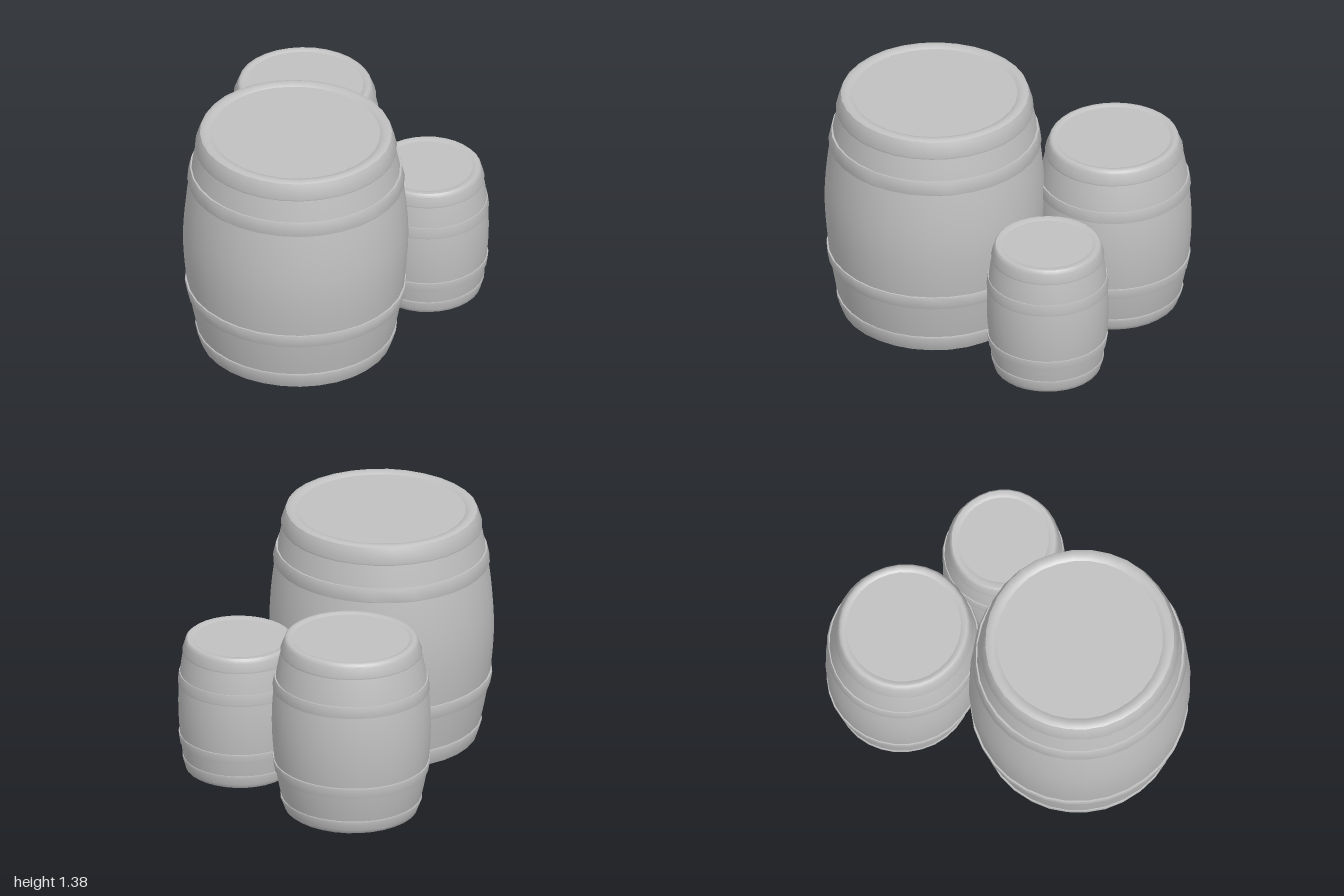
import * as THREE from 'three';
import { toCreasedNormals } from 'three/addons/utils/BufferGeometryUtils.js';

const SIDES = 32;

// Lathe with a faint hand-hewn waviness; the profile runs bottom to top on the outside
function turned(name, profile, material, wave, phase) {
  const geo = new THREE.LatheGeometry(profile.map(([r, y]) => new THREE.Vector2(r, y)), SIDES);
  const p = geo.attributes.position;
  for (let i = 0; i < p.count; i++) {
    const x = p.getX(i), y = p.getY(i), z = p.getZ(i);
    const a = Math.round(Math.atan2(z, x) / (Math.PI * 2) * SIDES) * Math.PI * 2 / SIDES;
    const k = 1 + wave * (Math.sin(5 * a + phase) + 0.6 * Math.sin(11 * a + phase * 2 + y * 3));
    p.setXYZ(i, x * k, y, z * k);
  }
  const mesh = new THREE.Mesh(toCreasedNormals(geo, 0.7), material);
  mesh.name = name;
  return mesh;
}

function makeBarrel(b, material) {
  const barrel = new THREE.Group();
  barrel.name = b.name;
  const { bottom, top, endR, midR, lidR } = b;
  const half = (top - bottom) / 2, mid = (top + bottom) / 2;
  // Bulge of the staves at a given height
  const radiusAt = (y) => midR - (midR - endR) * Math.pow(Math.abs(y - mid) / half, b.bulge);

  // Staves
  const staves = [];
  for (let i = 0; i <= 16; i++) {
    const y = mid + (half - 0.02) * (i / 8 - 1);
    staves.push([radiusAt(y), y]);
  }
  barrel.add(turned('staves', staves, material, 0.0015, b.phase));

  // Thin hoops around the belly
  const t = 0.018 * midR;
  b.hoops.forEach(([y0, y1], i) => {
    const r0 = radiusAt(y0), r1 = radiusAt(y1);
    barrel.add(turned(i ? 'upperHoop' : 'lowerHoop', [
      [r0 - t, y0], [r0 + t * 0.8, y0], [r0 + t, y0 + 0.008],
      [r1 + t, y1 - 0.008], [r1 + t * 0.8, y1], [r1 - t, y1],
    ], material, 0.002, b.phase + i * 2));
  });

  // End rims follow the staves, round over and turn in to the lids
  const foot = top - b.rim, r = radiusAt(foot), sink = 0.02 * midR;
  const rim = [
    [r - t, foot], [r + t * 0.5, foot], [r + t * 0.7, foot + 0.01],
    [endR + t, top - 0.025], [endR + t * 0.4, top - 0.008], [endR - t, top],
    [(endR + lidR) / 2, top], [lidR + 0.012, top - sink * 0.4], [lidR, top - sink],
  ];
  barrel.add(turned('topRim', rim, material, 0.002, b.phase + 1));
  const lower = rim.map(([x, y]) => [x, bottom + top - y]).reverse();
  barrel.add(turned('bottomRim', lower, material, 0.002, b.phase + 3));

  // Lids
  for (const s of [1, -1]) {
    const lid = new THREE.Mesh(new THREE.CircleGeometry(lidR + 0.005, SIDES), material);
    lid.name = s > 0 ? 'topLid' : 'bottomLid';
    lid.rotation.x = -s * Math.PI / 2;
    lid.position.y = mid + s * (half - sink + 0.001);
    barrel.add(lid);
  }
  barrel.position.set(b.x, 0, b.z);
  barrel.scale.z = b.depth;
  return barrel;
}

export function createModel() {
  const group = new THREE.Group();
  group.name = 'barrels';
  const grey = new THREE.MeshStandardMaterial({ color: 0xc0c0c0 });
  grey.name = 'plain grey';

  const barrels = [
    { name: 'largeBarrel', x: -0.048, z: 0.386, depth: 0.975, bottom: 0.015, top: 1.385, endR: 0.532,
      midR: 0.63, bulge: 1.75, lidR: 0.47, rim: 0.105, hoops: [[0.33, 0.41], [1.07, 1.15]], phase: 0.4 },
    { name: 'mediumBarrel', x: -0.35, z: -0.567, depth: 0.965, bottom: 0.005, top: 1.045, endR: 0.37,
      midR: 0.447, bulge: 2, lidR: 0.325, rim: 0.085, hoops: [[0.245, 0.31], [0.74, 0.805]], phase: 1.7 },
    { name: 'smallBarrel', x: 0.449, z: -0.375, depth: 0.99, bottom: 0.005, top: 0.795, endR: 0.298,
      midR: 0.342, bulge: 2, lidR: 0.25, rim: 0.08, hoops: [[0.165, 0.225], [0.525, 0.59]], phase: 2.9 },
  ];
  for (const b of barrels) group.add(makeBarrel(b, grey));
  return group;
}
